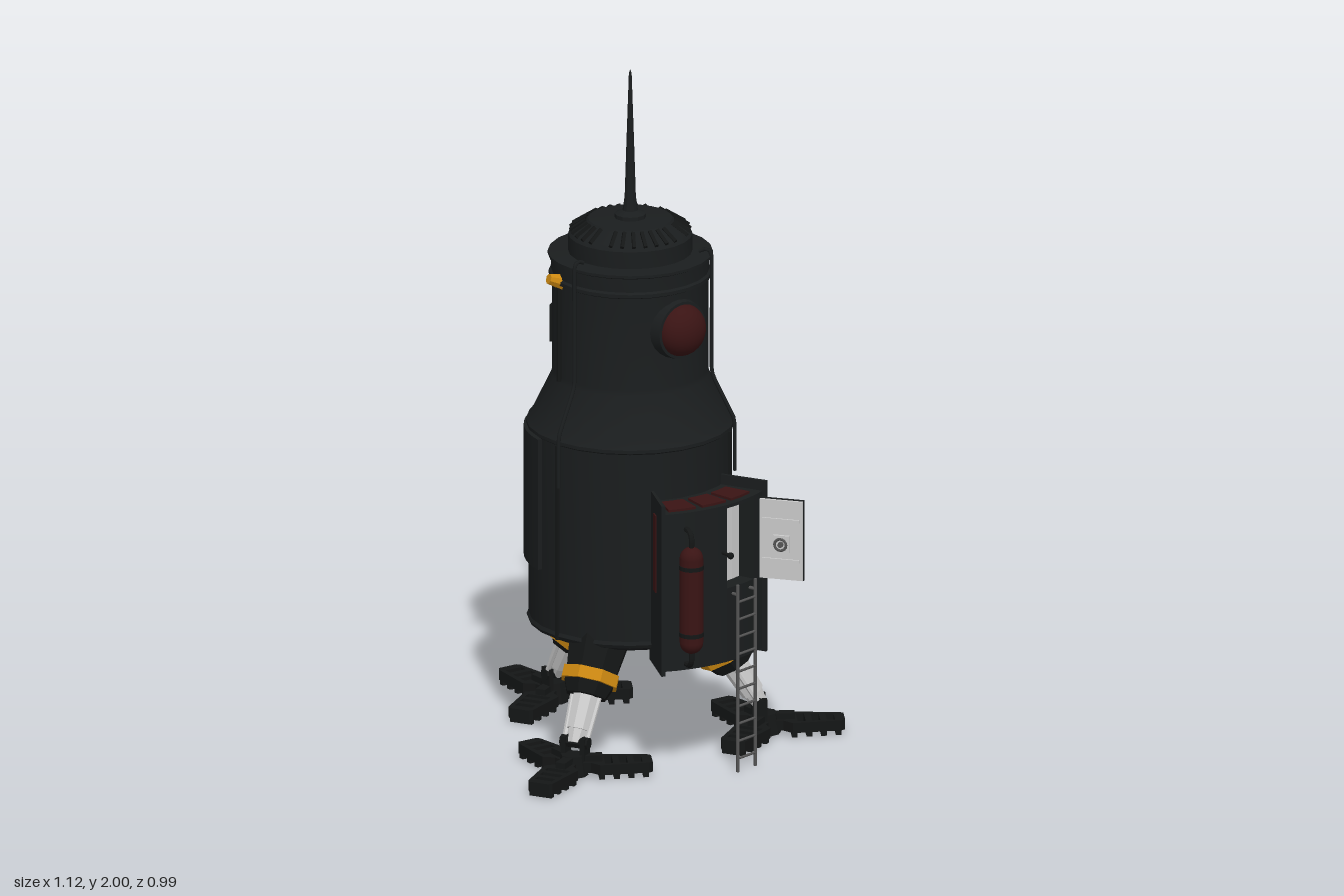
import * as THREE from 'three';
import { toCreasedNormals } from 'three/addons/utils/BufferGeometryUtils.js';

const mat = (color, flatShading = false) =>
  new THREE.MeshStandardMaterial({ color, flatShading });
const HULL = mat(0x1a1d1e), DARK = mat(0x141616, true), GREY = mat(0xcccccc, true);
const STEEL = mat(0x555555), YELLOW = mat(0xcc8811, true), RED = mat(0x3a1414);
const V = (x, y, z) => new THREE.Vector3(x, y, z);
const rad = THREE.MathUtils.degToRad;

function add(parent, name, geometry, material, x = 0, y = 0, z = 0) {
  const mesh = new THREE.Mesh(geometry, material);
  mesh.name = name;
  mesh.position.set(x, y, z);
  parent.add(mesh);
  return mesh;
}
const box = (w, h, d) => new THREE.BoxGeometry(w, h, d);

// Cylinder or cone between two points; r0 at a, r1 at b
function rod(parent, name, a, b, r0, r1, material, sides = 8) {
  const geo = new THREE.CylinderGeometry(r1, r0, a.distanceTo(b), sides);
  const mesh = add(parent, name, geo, material);
  mesh.position.copy(a).lerp(b, 0.5);
  mesh.quaternion.setFromUnitVectors(V(0, 1, 0), b.clone().sub(a).normalize());
  return mesh;
}

// Point around the hull axis; 0 degrees is the front, 90 is +x
const polar = (deg, r, y) => V(Math.sin(rad(deg)) * r, y, Math.cos(rad(deg)) * r);

// Curved block between two angles, radii and heights
function sector(parent, name, a0, a1, r0, r1, y0, y1, material) {
  const n = Math.max(1, Math.ceil((a1 - a0) / 6)), outer = [], inner = [];
  for (let i = 0; i <= n; i++) {
    const a = rad(a0 + (a1 - a0) * i / n);
    outer.push(new THREE.Vector2(Math.sin(a) * r1, -Math.cos(a) * r1));
    inner.unshift(new THREE.Vector2(Math.sin(a) * r0, -Math.cos(a) * r0));
  }
  const geo = new THREE.ExtrudeGeometry(new THREE.Shape([...outer, ...inner]),
    { depth: y1 - y0, bevelEnabled: false });
  geo.rotateX(-Math.PI / 2).translate(0, y0, 0);
  return add(parent, name, toCreasedNormals(geo, 0.4), material);
}

function lathe(points, segments) {
  const geo = new THREE.LatheGeometry(points.map(p => new THREE.Vector2(...p)), segments);
  return toCreasedNormals(geo, 0.4);
}

function makeHull() {
  const g = new THREE.Group();
  g.name = 'hull';
  add(g, 'shell', lathe([[0, 0.345], [0.26, 0.345], [0.29, 0.36], [0.295, 0.37], [0.29, 0.38],
    [0.29, 0.94], [0.297, 0.945], [0.297, 0.955], [0.285, 0.97], [0.225, 1.095], [0.222, 1.11],
    [0.222, 1.385], [0.232, 1.39], [0.232, 1.4], [0.225, 1.405], [0.225, 1.445], [0.235, 1.45],
    [0.235, 1.458], [0.177, 1.46], [0.177, 1.51], [0.165, 1.525], [0.125, 1.55], [0.12, 1.556],
    [0, 1.56]], 24), HULL);
  // Vent ribs around the cap
  for (let i = 0; i < 32; i++) {
    if (i % 8 === 0) continue;
    const a = i * 11.25;
    rod(g, 'ventRib', polar(a, 0.172, 1.522), polar(a, 0.126, 1.552), 0.007, 0.007, DARK, 4);
  }
  // Aerial
  add(g, 'antenna', lathe([[0.045, 1.556], [0.045, 1.57], [0.022, 1.58], [0.016, 1.62],
    [0.011, 1.78], [0.004, 1.99], [0, 2]], 12), HULL);
  // Raised side panels and seams
  for (const a of [180, 300]) sector(g, 'sidePanel', a - 30, a + 30, 0.28, 0.303, 0.55, 0.94, HULL);
  for (const a of [105, 225, 345]) {
    sector(g, 'seam', a - 1, a + 1, 0.28, 0.297, 0.36, 0.94, DARK);
    // Conduit following the shoulder
    const path = new THREE.CatmullRomCurve3([[0.2, 1.47], [0.225, 1.48], [0.237, 1.46],
      [0.237, 1.35], [0.237, 1.12], [0.25, 1.08], [0.3, 0.98], [0.304, 0.94],
      [0.304, 0.82]].map(([r, y]) => polar(a + 3, r, y)), false, 'catmullrom', 0.2);
    add(g, 'conduit', new THREE.TubeGeometry(path, 40, 0.006, 6), HULL);
  }
  sector(g, 'equipmentBox', 262, 282, 0.2, 0.242, 1.16, 1.27, DARK);
  rod(g, 'serviceRail', polar(327, 0.226, 1.1), polar(327, 0.226, 1.38), 0.008, 0.008, DARK);
  // Warning lamp
  rod(g, 'warningLamp', polar(326, 0.215, 1.395), polar(326, 0.258, 1.41), 0.024, 0.015, YELLOW);
  // Bulging porthole
  const port = new THREE.Group();
  port.name = 'porthole';
  port.position.copy(polar(69, 0.217, 1.28));
  port.rotation.y = rad(69);
  g.add(port);
  const frame = add(port, 'portholeFrame', new THREE.CylinderGeometry(0.084, 0.092, 0.04, 24), HULL);
  frame.rotation.x = Math.PI / 2;
  const glass = add(port, 'portholeGlass', new THREE.SphereGeometry(0.076, 24, 16), RED, 0, 0, 0.015);
  glass.scale.z = 0.8;
  return g;
}

// Foot pad with three slotted toes
function makeFoot() {
  const g = new THREE.Group();
  g.name = 'foot';
  const half = [[0.022, 0], [0.026, 0.05], [0.052, 0.075], [0.05, 0.1], [0.038, 0.215], [0.03, 0.226]];
  const shape = new THREE.Shape([...half, ...half.map(([x, y]) => [-x, y]).reverse()]
    .map(p => new THREE.Vector2(...p)));
  for (let i = 0; i < 3; i++) {
    const v = 0.09 + i * 0.042, w = 0.035 - i * 0.004;
    shape.holes.push(new THREE.Path([[-w, v], [w, v], [w, v + 0.023], [-w, v + 0.023]]
      .map(p => new THREE.Vector2(...p))));
  }
  const pad = new THREE.ExtrudeGeometry(shape, { depth: 0.03, bevelEnabled: false });
  pad.rotateX(Math.PI / 2).translate(0, 0.045, 0);
  for (let i = 0; i < 3; i++) {
    const toe = new THREE.Group();
    toe.name = 'toe';
    toe.rotation.y = i * Math.PI * 2 / 3;
    g.add(toe);
    add(toe, 'toePad', pad, DARK);
    add(toe, 'toeRidge', box(0.03, 0.025, 0.085), DARK, 0, 0.05, 0.042);
    for (let k = 0; k < 4; k++)
      add(toe, 'tread', box(0.092 - k * 0.008, 0.02, 0.016), DARK, 0, 0.01, 0.081 + k * 0.042);
  }
  add(g, 'footHub', new THREE.CylinderGeometry(0.034, 0.045, 0.06, 10), DARK, 0, 0.034, 0);
  return g;
}

function makeLeg(angle) {
  const g = new THREE.Group();
  g.name = 'leg';
  g.rotation.y = rad(angle);
  const at = t => V(0, 0.1 + 0.852 * t, 0.365 - 0.523 * t);
  rod(g, 'legHousing', at(0.19), at(0.36), 0.076, 0.1, DARK);
  rod(g, 'legRing', at(0.167), at(0.202), 0.086, 0.086, YELLOW);
  rod(g, 'legSocket', at(0.13), at(0.172), 0.06, 0.078, DARK);
  rod(g, 'strut', at(0.03), at(0.145), 0.034, 0.04, GREY);
  rod(g, 'strutEnd', at(-0.01), at(0.035), 0.022, 0.03, GREY);
  for (const s of [-1, 1]) {
    const a = at(0).add(V(s * 0.034, 0, 0)), b = at(0.15).add(V(s * 0.042, 0, 0));
    rod(g, 'strutRod', a, b, 0.008, 0.008, GREY, 6);
    add(g, 'ankleFork', box(0.014, 0.065, 0.04), DARK, s * 0.03, 0.08, 0.368);
  }
  rod(g, 'anklePin', V(-0.043, 0.095, 0.367), V(0.043, 0.095, 0.367), 0.018, 0.018, DARK);
  const foot = makeFoot();
  foot.position.z = 0.385;
  g.add(foot);
  return g;
}

function makeEntrance() {
  const g = new THREE.Group();
  g.name = 'entrance';
  // Curved porch with a recessed doorway
  sector(g, 'porchBody', 43, 71, 0.27, 0.42, 0.33, 0.8, HULL);
  sector(g, 'porchSide', 87, 94, 0.27, 0.42, 0.33, 0.8, HULL);
  sector(g, 'porchSill', 71, 87, 0.27, 0.42, 0.33, 0.55, HULL);
  sector(g, 'porchLintel', 71, 87, 0.27, 0.42, 0.79, 0.8, HULL);
  sector(g, 'doorwayBack', 71, 87, 0.28, 0.37, 0.55, 0.79, GREY);
  for (const a of [42, 93.5]) sector(g, 'porchWall', a, a + 1.5, 0.27, 0.432, 0.32, 0.83, HULL);
  for (const a of [52, 67, 82]) sector(g, 'roofPanel', a - 6, a + 6, 0.32, 0.4, 0.795, 0.807, RED);
  sector(g, 'sideStrip', 41.4, 42, 0.335, 0.365, 0.55, 0.78, RED);
  // Open door on its hinge
  const door = new THREE.Group();
  door.name = 'door';
  door.position.set(0.422, 0.67, 0.002);
  door.rotation.y = 0.25;
  g.add(door);
  add(door, 'doorInner', box(0.126, 0.236, 0.008), GREY, 0.07, 0, 0.005);
  add(door, 'doorOuter', box(0.13, 0.24, 0.008), HULL, 0.07, 0, -0.003);
  for (const y of [-0.06, 0.06]) add(door, 'doorRib', box(0.11, 0.008, 0.006), GREY, 0.07, y, 0.011);
  add(door, 'doorLockPlate', box(0.05, 0.05, 0.01), GREY, 0.072, -0.01, 0.012);
  add(door, 'doorWheel', new THREE.TorusGeometry(0.017, 0.004, 6, 16), STEEL, 0.072, -0.01, 0.024);
  rod(door, 'doorWheelHub', V(0.072, -0.01, 0.01), V(0.072, -0.01, 0.028), 0.008, 0.008, STEEL);
  // Ladder
  const L0 = V(0.424, 0, 0.12), L1 = V(0.438, 0, 0.045);
  for (const p of [L0, L1]) {
    rod(g, 'ladderRail', p, p.clone().setY(0.56), 0.005, 0.005, STEEL, 6);
    rod(g, 'ladderBracket', p.clone().setY(0.53), p.clone().multiplyScalar(0.94).setY(0.53), 0.005, 0.005, STEEL, 6);
  }
  for (let y = 0.04; y < 0.56; y += 0.052)
    rod(g, 'ladderRung', L0.clone().setY(y), L1.clone().setY(y), 0.004, 0.004, STEEL, 6);
  // Grab handle beside the doorway
  rod(g, 'handleStem', polar(69, 0.41, 0.66), polar(69, 0.452, 0.66), 0.005, 0.005, DARK);
  add(g, 'handleKnob', new THREE.SphereGeometry(0.01, 10, 8), DARK).position.copy(polar(69, 0.455, 0.66));
  // Gas tank with feed pipes
  const a = 52.5, r = 0.458;
  add(g, 'tank', new THREE.CapsuleGeometry(0.034, 0.25, 6, 16), RED).position.copy(polar(a, r, 0.55));
  for (const y of [0.45, 0.65])
    add(g, 'tankBand', new THREE.CylinderGeometry(0.036, 0.036, 0.012, 16), DARK).position.copy(polar(a, r, y));
  for (const s of [-1, 1]) {
    const pipe = new THREE.CatmullRomCurve3([[r, 0.15], [r, 0.185], [r - 0.015, 0.2], [0.4, 0.2]]
      .map(([q, y]) => polar(a, q, 0.55 + s * y)));
    add(g, 'tankPipe', new THREE.TubeGeometry(pipe, 16, 0.008, 8), DARK);
  }
  return g;
}

export function createModel() {
  const model = new THREE.Group();
  model.name = 'landerTower';
  const tower = new THREE.Group();
  tower.name = 'tower';
  tower.position.set(0.005, 0, -0.12);
  tower.add(makeHull(), makeEntrance(), ...[5, 125, 245].map(makeLeg));
  model.add(tower);
  return model;
}
